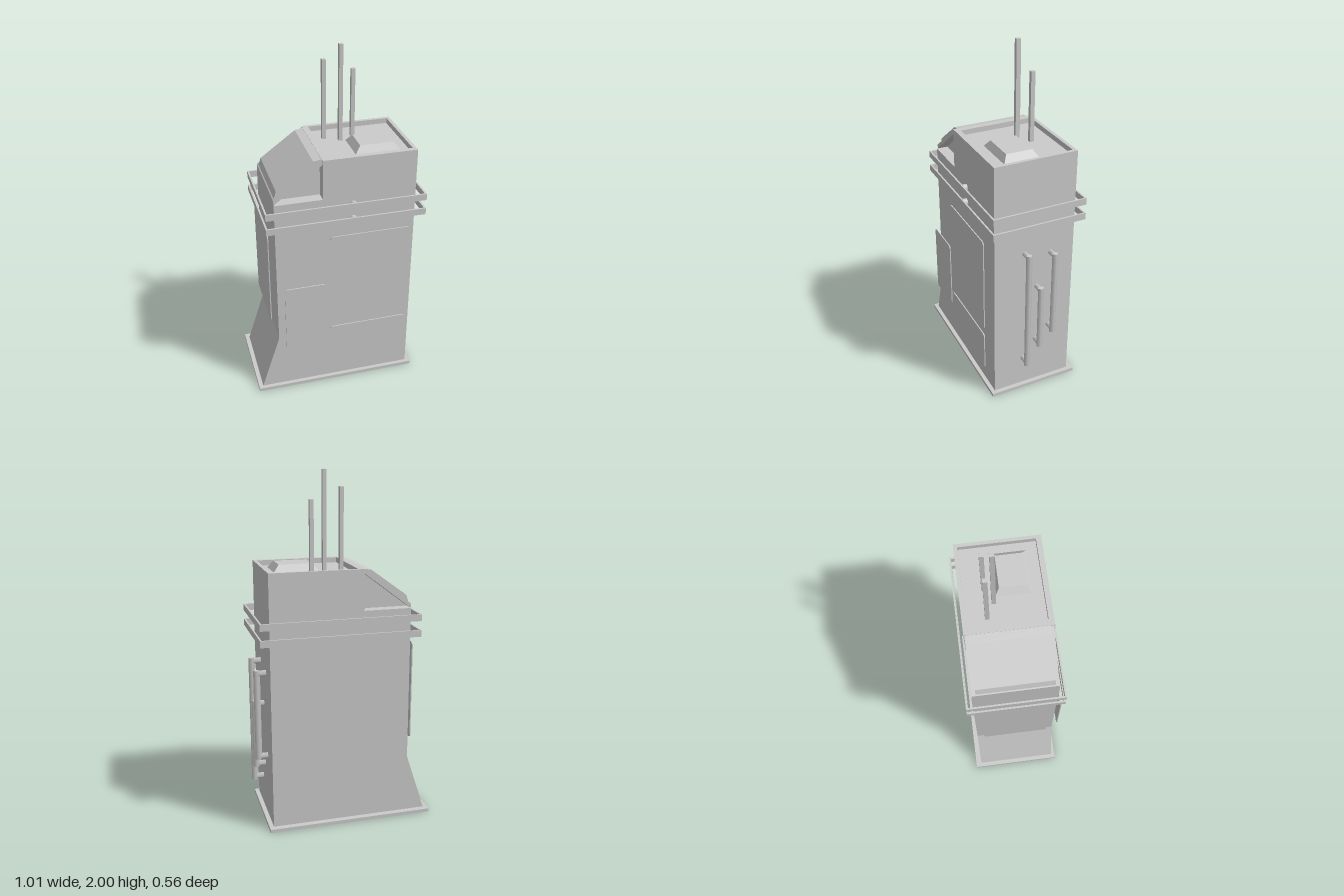
import * as THREE from 'three';

const grey = new THREE.MeshStandardMaterial({ color: 0xcccccc });

function add(parent, name, geometry, x = 0, y = 0, z = 0) {
  const mesh = new THREE.Mesh(geometry, grey);
  mesh.name = name;
  mesh.position.set(x, y, z);
  parent.add(mesh);
  return mesh;
}

// Box from its minimum and maximum corners
function box(parent, name, [x0, y0, z0], [x1, y1, z1]) {
  return add(parent, name, new THREE.BoxGeometry(x1 - x0, y1 - y0, z1 - z0),
    (x0 + x1) / 2, (y0 + y1) / 2, (z0 + z1) / 2);
}

// Side profile in x and y, extruded from z0 to z1
function slab(parent, name, points, z0, z1) {
  const shape = new THREE.Shape(points.map(([x, y]) => new THREE.Vector2(x, y)));
  const g = new THREE.ExtrudeGeometry(shape, { depth: z1 - z0, bevelEnabled: false });
  return add(parent, name, g, 0, 0, z0);
}

// Rectangle in plan as a list of points; z is negated because shapes are laid flat
function planRect(x0, x1, z0, z1) {
  return [[x0, -z1], [x1, -z1], [x1, -z0], [x0, -z0]].map(([x, y]) => new THREE.Vector2(x, y));
}

// Horizontal rectangular frame
function frame(parent, name, outer, inner, y0, y1) {
  const shape = new THREE.Shape(planRect(...outer));
  shape.holes.push(new THREE.Path(planRect(...inner).reverse()));
  const g = new THREE.ExtrudeGeometry(shape, { depth: y1 - y0, bevelEnabled: false });
  g.rotateX(-Math.PI / 2);
  return add(parent, name, g, 0, y0, 0);
}

// Thin plate with rounded corners, centred on the origin and facing +z
function plateGeometry(w, h, r = 0.02) {
  const s = new THREE.Shape();
  const a = w / 2, b = h / 2;
  s.moveTo(-a + r, -b);
  s.lineTo(a - r, -b).quadraticCurveTo(a, -b, a, -b + r);
  s.lineTo(a, b - r).quadraticCurveTo(a, b, a - r, b);
  s.lineTo(-a + r, b).quadraticCurveTo(-a, b, -a, b - r);
  s.lineTo(-a, -b + r).quadraticCurveTo(-a, -b, -a + r, -b);
  return new THREE.ExtrudeGeometry(s, { depth: 0.006, bevelEnabled: false, curveSegments: 4 });
}

export function createModel() {
  const model = new THREE.Group();
  model.name = 'cabinet';

  // Base plate and main body with a flared foot on one side
  box(model, 'basePlate', [-0.505, 0, -0.278], [0.455, 0.02, 0.258]);
  slab(model, 'body', [
    [-0.48, 0.02], [0.43, 0.02], [0.43, 1.45], [-0.1, 1.45],
    [-0.1, 1.25], [-0.37, 1.25], [-0.37, 0.36],
  ], -0.245, 0.235);

  // Raised rim around the shallow tray, with a low pad in it
  frame(model, 'trayRim', [-0.1, 0.43, -0.245, 0.235], [-0.065, 0.41, -0.225, 0.205], 1.45, 1.48);
  const pad = new THREE.CylinderGeometry(Math.SQRT1_2, 0.95, 1, 4, 1).rotateY(Math.PI / 4).toNonIndexed();
  pad.scale(0.19, 0.04, 0.15);
  pad.computeVertexNormals();
  add(model, 'trayPad', pad, 0.235, 1.469, 0.045);

  // Sloping hood: an overhanging cover on a set-back wedge
  slab(model, 'hoodWedge', [[-0.37, 1.25], [-0.1, 1.25], [-0.1, 1.46]], -0.18, 0.17);
  slab(model, 'hoodCover', [
    [-0.37, 1.25], [-0.1, 1.455], [-0.1, 1.475], [-0.37, 1.275],
  ], -0.24, 0.23);
  slab(model, 'hoodPanel', [
    [-0.365, 1.275], [-0.1, 1.47], [-0.1, 1.478], [-0.145, 1.47], [-0.35, 1.32],
  ], -0.22, 0.21);

  // Two rails around the body, each with a front mount
  for (const y of [1.09, 1.18]) {
    frame(model, 'rail', [-0.423, 0.487, -0.28, 0.266], [-0.413, 0.477, -0.27, 0.256], y, y + 0.038);
    const mount = new THREE.CylinderGeometry(0.021, 0.021, 0.03, 8).rotateX(Math.PI / 2);
    add(model, 'railMount', mount, 0.07, y + 0.021, 0.246);
  }

  // Thin panels: three in front, one on the flared side
  const panels = [[-0.07, 0.39, 0.46, 1.035], [-0.07, 0.39, 0.175, 0.42], [-0.335, -0.1, 0.305, 0.73]];
  for (const [x0, x1, y0, y1] of panels) {
    add(model, 'frontPanel', plateGeometry(x1 - x0, y1 - y0), (x0 + x1) / 2, (y0 + y1) / 2, 0.276);
  }
  const sidePanel = add(model, 'sidePanel', plateGeometry(0.39, 0.58), -0.399, 0.75, -0.005);
  sidePanel.rotation.y = -Math.PI / 2;

  // Upright handles with two arms each
  for (const [z, y0, y1] of [[0.053, 0.19, 0.945], [-0.025, 0.305, 0.712], [-0.106, 0.385, 0.915]]) {
    const handle = new THREE.Group();
    handle.name = 'handle';
    model.add(handle);
    add(handle, 'handleBar', new THREE.CylinderGeometry(0.019, 0.019, y1 - y0, 4), 0.482, (y0 + y1) / 2, z);
    for (const y of [y0 + 0.018, y1 - 0.018]) {
      const arm = new THREE.CylinderGeometry(0.018, 0.018, 0.06, 4).rotateZ(Math.PI / 2);
      add(handle, 'handleArm', arm, 0.454, y, z);
    }
  }

  // Square masts standing in the tray
  for (const [x, z, top] of [[-0.004, -0.11, 1.91], [0.08, -0.065, 2], [0.163, -0.11, 1.845]]) {
    box(model, 'mast', [x - 0.011, 1.45, z - 0.012], [x + 0.011, top, z + 0.012]);
  }
  return model;
}
